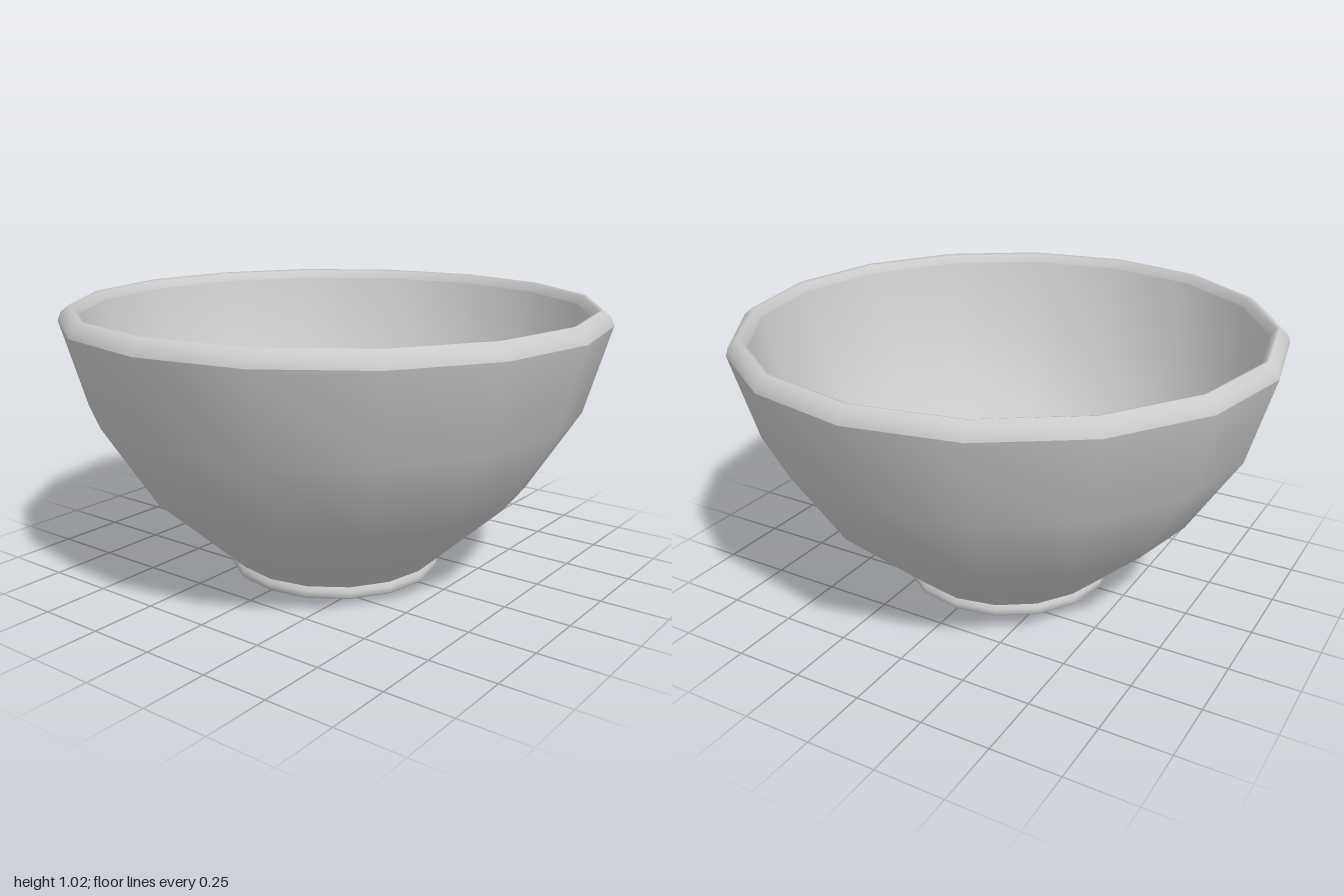
import * as THREE from 'three';

const SIDES = 16;

export function createModel() {
  const bowl = new THREE.Group();
  bowl.name = 'bowl';
  const material = new THREE.MeshStandardMaterial({ color: 0xcccccc });

  // Each part is a smooth band turned about the y axis
  const turn = (name, profile) => {
    const points = profile.map(([r, y]) => new THREE.Vector2(r, y));
    const mesh = new THREE.Mesh(new THREE.LatheGeometry(points, SIDES), material);
    mesh.name = name;
    bowl.add(mesh);
  };

  // Flat underside
  turn('base', [[0, 0], [0.39, 0]]);

  // Low foot ring with softened edges
  turn('foot', [[0.39, 0], [0.4, 0.01], [0.4, 0.03], [0.39, 0.045]]);

  // Flaring outside wall
  turn('outerWall', [[0.39, 0.045], [0.72, 0.35], [0.91, 0.65], [1, 0.965]]);

  // Rounded lip
  turn('rim', [[1, 0.965], [0.99, 0.995], [0.96, 1.02], [0.945, 1.015], [0.93, 0.985]]);

  // Inside wall running into the flat floor
  turn('innerWall', [[0.93, 0.985], [0.845, 0.67], [0.67, 0.39], [0.33, 0.08], [0, 0.08]]);

  return bowl;
}
